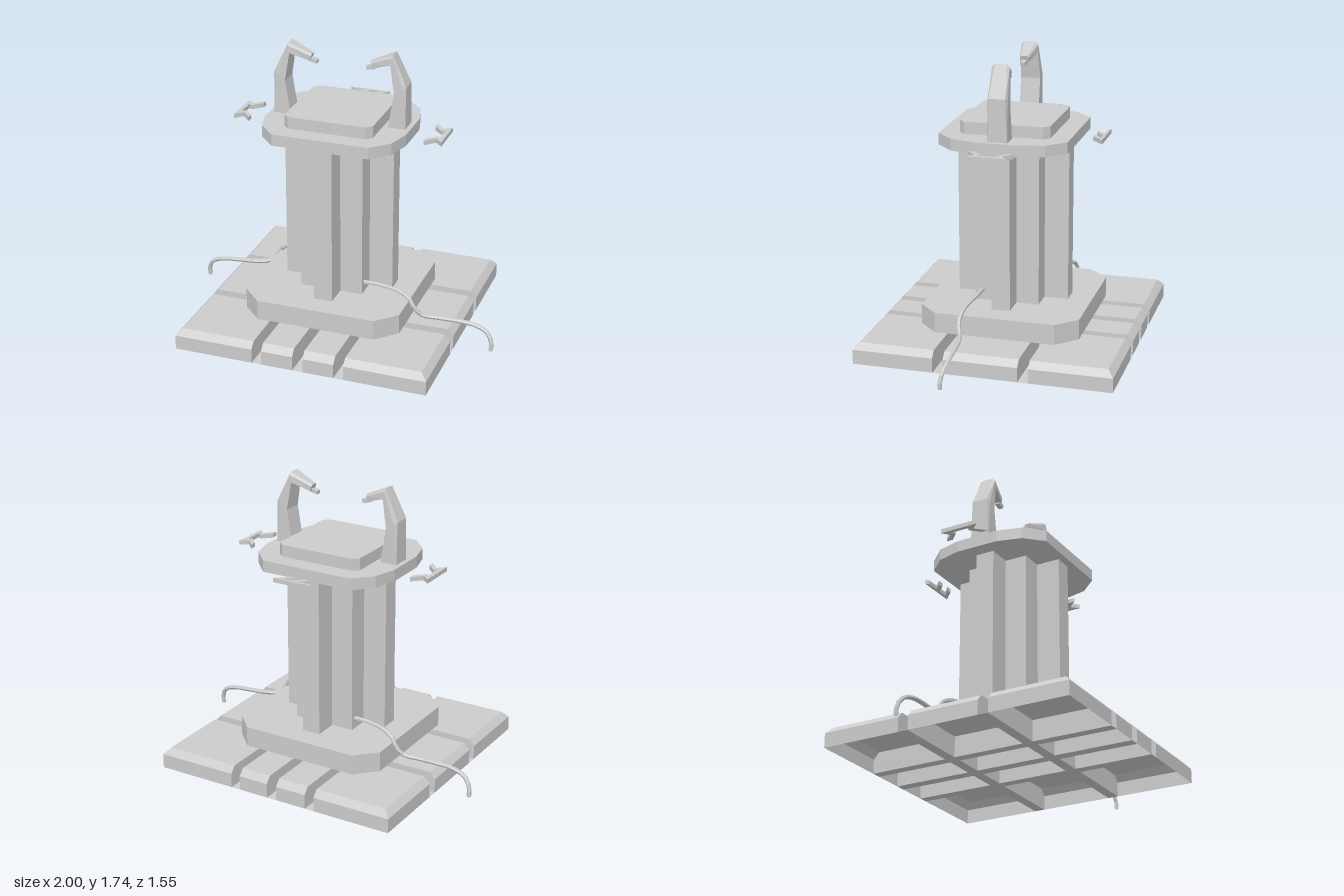
import * as THREE from 'three';

const CX = -0.013; // the tower sits slightly off the cable centre
const grey = new THREE.MeshStandardMaterial({ color: 0xcccccc, flatShading: true });
const greyThin = new THREE.MeshStandardMaterial({ color: 0xcccccc, flatShading: true, side: THREE.DoubleSide });

function add(parent, name, geometry, material = grey) {
  const mesh = new THREE.Mesh(geometry, material);
  mesh.name = name;
  parent.add(mesh);
  return mesh;
}

// Prism from an outline of [x, z] points between two heights
function prism(points, y0, y1) {
  const shape = new THREE.Shape(points.map(([x, z]) => new THREE.Vector2(x, z)));
  const g = new THREE.ExtrudeGeometry(shape, { depth: y1 - y0, bevelEnabled: false });
  return g.rotateX(Math.PI / 2).translate(0, y1, 0);
}

// Repeats a quarter outline (from +x towards +z) in all four quadrants
function fourfold(q) {
  const r = [...q].reverse();
  return [
    ...q, ...r.map(([x, z]) => [-x, z]),
    ...q.map(([x, z]) => [-x, -z]), ...r.map(([x, z]) => [x, -z]),
  ].map(([x, z]) => [x + CX, z]);
}

// Skin over matching rings of [x, y, z] points, with end caps as asked
function loft(rings, capStart, capEnd) {
  const pos = [];
  const n = rings[0].length;
  const tri = (a, b, c) => pos.push(...a, ...b, ...c);
  for (let k = 0; k < rings.length - 1; k++) {
    for (let i = 0; i < n; i++) {
      const j = (i + 1) % n, a = rings[k], b = rings[k + 1];
      tri(a[i], a[j], b[j]);
      tri(a[i], b[j], b[i]);
    }
  }
  const s = rings[0], e = rings[rings.length - 1];
  for (let i = 1; i < n - 1; i++) {
    if (capStart) tri(s[0], s[i + 1], s[i]);
    if (capEnd) tri(e[0], e[i], e[i + 1]);
  }
  const g = new THREE.BufferGeometry();
  g.setAttribute('position', new THREE.Float32BufferAttribute(pos, 3));
  g.computeVertexNormals();
  return g;
}

// Base: hollow raised tiles joined by groove floors, bevelled on the outer rim
function makeBase() {
  const base = new THREE.Group();
  base.name = 'tiledBase';
  const xs = [-0.79, -0.3, -0.24, -0.045, 0.02, 0.21, 0.27, 0.768];
  const zs = [-0.78, -0.287, -0.223, 0.222, 0.286, 0.775];
  const bevel = 0.036;
  for (let i = 0; i < xs.length - 1; i++) {
    for (let j = 0; j < zs.length - 1; j++) {
      const x0 = xs[i], x1 = xs[i + 1], z0 = zs[j], z1 = zs[j + 1];
      const ring = (y, b) => {
        const l = x0 + (i === 0 ? b : 0), r = x1 - (i === xs.length - 2 ? b : 0);
        const k = z0 + (j === 0 ? b : 0), f = z1 - (j === zs.length - 2 ? b : 0);
        return [[l, y, f], [r, y, f], [r, y, k], [l, y, k]];
      };
      if (i % 2 || j % 2) {
        const floor = new THREE.PlaneGeometry(x1 - x0, z1 - z0).rotateX(-Math.PI / 2);
        add(base, 'grooveFloor', floor.translate((x0 + x1) / 2, 0, (z0 + z1) / 2), greyThin);
      } else {
        add(base, 'baseTile', loft([ring(0, 0), ring(0.088, 0), ring(0.127, bevel)], false, true), greyThin);
      }
    }
  }
  return base;
}

// Claw: tapering bent arm with bevelled back edges and a small tip, at +x
function makeClaw() {
  const claw = new THREE.Group();
  claw.name = 'claw';
  // outer x, y, inner x, y, half width, ridge half width
  const sections = [
    [0.408, 1.30, 0.303, 1.30, 0.06, 0.058],
    [0.408, 1.555, 0.337, 1.51, 0.06, 0.05],
    [0.322, 1.74, 0.31, 1.68, 0.053, 0.036],
    [0.182, 1.678, 0.195, 1.638, 0.027, 0.018],
  ];
  const rings = sections.map(([ox, oy, ix, iy, w, r], k) => {
    const t = k === 0 ? 0.05 : 0.28;
    const sx = ox + (ix - ox) * t, sy = oy + (iy - oy) * t;
    return [[ix, iy, w], [sx, sy, w], [ox, oy, r], [ox, oy, -r], [sx, sy, -w], [ix, iy, -w]];
  });
  add(claw, 'clawArm', loft(rings, true, true));
  const tip = add(claw, 'clawTip', new THREE.BoxGeometry(0.05, 0.024, 0.03));
  tip.position.set(0.177, 1.638, 0);
  tip.rotation.z = 0.2;
  return claw;
}

export function createModel() {
  const model = new THREE.Group();
  model.name = 'pedestal';
  model.add(makeBase());

  // Plinth, cross-shaped column and the two top slabs
  add(model, 'plinth', prism(fourfold([[0.487, 0.365], [0.367, 0.485]]), 0.127, 0.25));
  add(model, 'column', prism(fourfold([
    [0.342, 0.057], [0.195, 0.057], [0.195, 0.195], [0.057, 0.195], [0.057, 0.342],
  ]), 0.25, 1.23));
  add(model, 'topSlab', prism(fourfold([[0.437, 0.133], [0.397, 0.28], [0.293, 0.388]]), 1.23, 1.30));
  add(model, 'topPlate', prism(fourfold([[0.272, 0.238], [0.238, 0.272]]), 1.30, 1.372));

  // Facing pair of claws
  for (const turn of [0, Math.PI]) {
    const claw = makeClaw();
    claw.position.x = CX;
    claw.rotation.y = turn;
    model.add(claw);
  }

  // Floating angular brackets at the sides and back
  const side = [
    [0.543, -0.14], [0.6, -0.082], [0.645, -0.12], [0.645, 0.12], [0.6, 0.075], [0.543, 0.135],
    [0.543, 0.095], [0.6, 0.038], [0.62, 0.06], [0.62, -0.06], [0.6, -0.045], [0.543, -0.1],
  ];
  for (const s of [1, -1]) {
    add(model, 'sideBracket', prism(side.map(([x, z]) => [CX + s * x, z]), 1.252, 1.278));
  }
  add(model, 'backBracket', prism([
    [-0.15, -0.55], [0.105, -0.55], [0.035, -0.482], [-0.005, -0.482], [0.055, -0.532],
    [-0.01, -0.532], [-0.06, -0.482], [-0.1, -0.482], [-0.05, -0.532], [-0.13, -0.532],
  ], 1.252, 1.278));

  // Cables trailing from the column to the ground, one on each side
  const path = new THREE.CatmullRomCurve3([
    [0.17, 0.315, 0.155], [0.3, 0.313, 0.16], [0.42, 0.3, 0.18], [0.485, 0.27, 0.197],
    [0.52, 0.215, 0.203], [0.56, 0.172, 0.185], [0.64, 0.16, 0.162], [0.76, 0.155, 0.15],
    [0.87, 0.146, 0.146], [0.95, 0.117, 0.153], [0.985, 0.065, 0.165], [0.987, 0.005, 0.17],
  ].map((p) => new THREE.Vector3(...p)));
  for (const turn of [0, Math.PI]) {
    const cable = add(model, 'cable', new THREE.TubeGeometry(path, 24, 0.0135, 6), greyThin);
    cable.rotation.y = turn;
  }
  return model;
}
